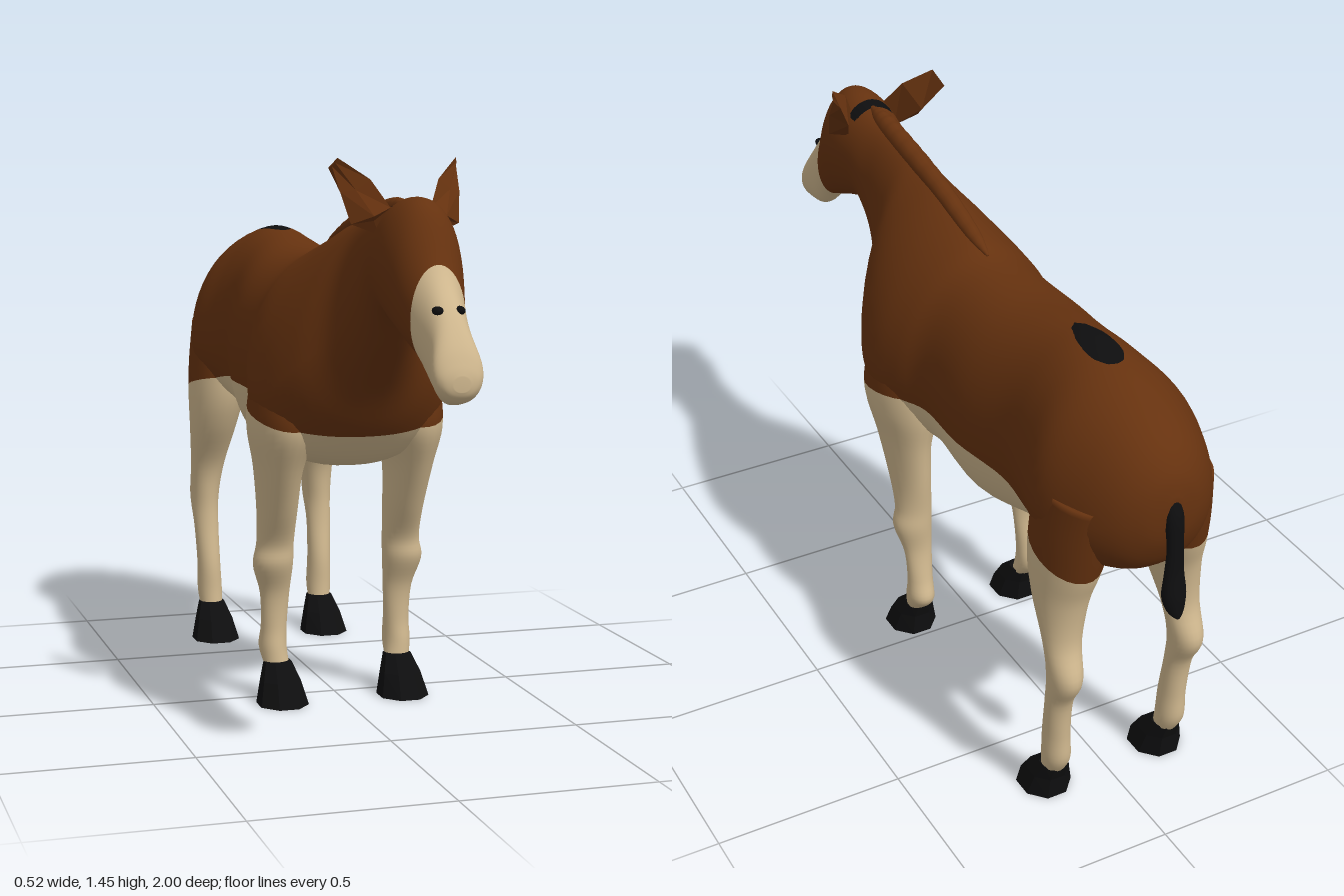
import * as THREE from 'three';

const V = (x, y, z) => new THREE.Vector3(x, y, z);
const paint = (name, color) => Object.assign(new THREE.MeshStandardMaterial({ color }), { name });

// Smoothly resample rows of section numbers (Catmull-Rom on every column)
function resample(rows, steps) {
  const out = [], last = rows.length - 1;
  for (let i = 0; i < last; i++) {
    const [a, b, c, d] = [rows[Math.max(i - 1, 0)], rows[i], rows[i + 1], rows[Math.min(i + 2, last)]];
    for (let s = 0; s < steps; s++) {
      const t = s / steps;
      out.push(b.map((v, k) => v + 0.5 * t * (c[k] - a[k] + t * (2 * a[k] - 5 * v + 4 * c[k] - d[k]
        + t * (3 * (v - c[k]) + d[k] - a[k])))));
    }
  }
  out.push(rows[last]);
  return out;
}

// Closed skin over rings of points, with capped ends, always facing outwards
function loft(rings, flat = false) {
  const n = rings[0].length, pts = rings.flat(), idx = [];
  for (let r = 0; r < rings.length - 1; r++) {
    for (let i = 0; i < n; i++) {
      const a = r * n + i, b = r * n + (i + 1) % n;
      idx.push(a, b, a + n, b, b + n, a + n);
    }
  }
  [0, rings.length - 1].forEach((r, end) => {
    const c = pts.length;
    pts.push(rings[r].reduce((s, p) => s.add(p), V(0, 0, 0)).divideScalar(n));
    for (let i = 0; i < n; i++) {
      const a = r * n + i, b = r * n + (i + 1) % n;
      if (end) idx.push(c, a, b); else idx.push(c, b, a);
    }
  });
  let volume = 0;
  for (let i = 0; i < idx.length; i += 3) {
    volume += pts[idx[i]].dot(pts[idx[i + 1]].clone().cross(pts[idx[i + 2]]));
  }
  if (volume < 0) idx.reverse();
  let geo = new THREE.BufferGeometry().setFromPoints(pts);
  geo.setIndex(idx);
  if (flat) geo = geo.toNonIndexed();
  geo.computeVertexNormals();
  return geo;
}

// Horizontal ellipses from rows of [y, xCentre, xRadius, zCentre, zRadius]
const ellipses = (rows, n, side = 1) => rows.map(([y, x, rx, z, rz]) => Array.from({ length: n }, (_, i) => {
  const a = (i + 0.5) / n * Math.PI * 2;
  return V(side * (x + rx * Math.cos(a)), y, z + rz * Math.sin(a));
}));

// Cut a geometry along f = 0 into [f >= 0, f < 0]
function cut(geo, f) {
  const g = geo.index ? geo.toNonIndexed() : geo;
  const p = g.attributes.position.array, q = g.attributes.normal.array;
  const sides = [[], []];
  for (let i = 0; i < p.length; i += 9) {
    const tri = [0, 3, 6].map((k) => [...p.slice(i + k, i + k + 3), ...q.slice(i + k, i + k + 3)]);
    const d = tri.map((v) => f(v[0], v[1], v[2]));
    sides.forEach((list, s) => {
      const poly = [];
      for (let k = 0; k < 3; k++) {
        const m = (k + 1) % 3, inK = (d[k] >= 0) === !s, inM = (d[m] >= 0) === !s;
        if (inK) poly.push(tri[k]);
        if (inK !== inM) {
          const t = d[k] / (d[k] - d[m]);
          poly.push(tri[k].map((v, c) => v + t * (tri[m][c] - v)));
        }
      }
      for (let k = 1; k + 1 < poly.length; k++) list.push(poly[0], poly[k], poly[k + 1]);
    });
  }
  return sides.map((list) => {
    const out = new THREE.BufferGeometry();
    out.setAttribute('position', new THREE.Float32BufferAttribute(list.flatMap((v) => v.slice(0, 3)), 3));
    out.setAttribute('normal', new THREE.Float32BufferAttribute(list.flatMap((v) => v.slice(3)), 3));
    return out;
  });
}

export function createModel() {
  const model = new THREE.Group();
  model.name = 'equine';
  const brown = paint('brown coat', 0x66320f);
  const cream = paint('cream coat', 0xcfb78e);
  const black = paint('black', 0x0e0e0f);
  const add = (name, geo, mat) => {
    const m = new THREE.Mesh(geo, mat);
    m.name = name;
    model.add(m);
    return m;
  };
  // Edge between the brown back and the cream underside
  const coatLine = (x, y, z) => y - 0.825 + 0.28 * (z + 0.27) ** 2;

  // Body, neck and head: [z, top, bottom, half width, widest y, upper taper]
  const trunk = [
    [-0.96, 1.0, 0.93, 0.02, 0.965, 1], [-0.945, 1.06, 0.86, 0.08, 0.95, 1],
    [-0.9, 1.12, 0.78, 0.14, 0.93, 1], [-0.82, 1.17, 0.74, 0.19, 0.9, 1],
    [-0.7, 1.215, 0.72, 0.225, 0.9, 1.1], [-0.58, 1.235, 0.7, 0.2, 0.9, 1.1],
    [-0.46, 1.22, 0.65, 0.186, 0.92, 1], [-0.28, 1.19, 0.605, 0.215, 0.9, 0.9],
    [-0.1, 1.19, 0.63, 0.212, 0.9, 1], [0, 1.22, 0.64, 0.24, 0.88, 1.3],
    [0.1, 1.25, 0.64, 0.258, 0.85, 1.5], [0.2, 1.28, 0.66, 0.24, 0.86, 1.6],
    [0.29, 1.295, 0.745, 0.19, 0.92, 1.5], [0.37, 1.31, 0.86, 0.12, 1.0, 1.2],
    [0.47, 1.325, 0.97, 0.088, 1.12, 1], [0.57, 1.34, 1.07, 0.09, 1.2, 1],
    [0.68, 1.362, 1.045, 0.1, 1.2, 1], [0.76, 1.335, 1.01, 0.088, 1.16, 1],
    [0.84, 1.205, 0.975, 0.066, 1.08, 1], [0.92, 1.115, 0.91, 0.053, 1.02, 0.85],
    [0.97, 1.045, 0.91, 0.06, 0.98, 0.9], [0.992, 1.0, 0.925, 0.045, 0.965, 1],
    [1, 0.975, 0.94, 0.02, 0.957, 1],
  ];
  const skin = loft(resample(trunk, 5).map(([z, top, bottom, w, mid, taper]) =>
    Array.from({ length: 56 }, (_, i) => {
      const a = i / 56 * Math.PI * 2, c = Math.cos(a), s = Math.sin(a);
      const x = Math.sign(c) * w * Math.abs(c) ** (s > 0 ? taper : 0.85);
      return V(x, mid + s * (s > 0 ? top - mid : mid - bottom), z);
    })));
  const [muzzle, behindMuzzle] = cut(skin, (x, y, z) => z - 0.835);
  const [upper, belly] = cut(behindMuzzle, coatLine);
  // Teardrop patch over the croup, and a narrow band between the ears
  const [croup, rest] = cut(upper, (x, y, z) =>
    y < 1.1 ? -1 : 1 - ((z + 0.59) / 0.1) ** 2 - (x / (0.043 - 0.12 * (z + 0.59))) ** 2);
  const [band, coat] = cut(rest, (x, y, z) =>
    Math.min(0.018 - Math.abs(z - 0.61), 0.06 - Math.abs(x), y - 1.29));
  add('brownCoat', coat, brown);
  add('creamBelly', belly, cream);
  add('muzzle', muzzle, cream);
  add('croupPatch', croup, black);
  add('pollBand', band, black);

  // Mane: a low tufted ridge, [z, y, half width, half height]
  const mane = [[-0.06, 1.2, 0.004, 0.004], [0.02, 1.224, 0.02, 0.02], [0.2, 1.275, 0.026, 0.026],
    [0.4, 1.31, 0.028, 0.03], [0.53, 1.33, 0.024, 0.026], [0.6, 1.34, 0.008, 0.008]];
  add('mane', loft(resample(mane, 10).map(([z, y, rx, ry], k) => Array.from({ length: 12 }, (_, i) => {
    const a = i / 12 * Math.PI * 2, tuft = k % 3 === 0 ? 0.88 : 1;
    return V(rx * Math.cos(a), y + ry * tuft * Math.sin(a), z);
  }))), brown);

  // Tail
  const tail = [[1.0, 0, 0.016, -0.945, 0.012], [0.95, 0, 0.024, -0.957, 0.018], [0.87, 0, 0.022, -0.967, 0.014],
    [0.8, 0, 0.026, -0.968, 0.017], [0.74, 0, 0.032, -0.972, 0.024], [0.7, 0, 0.022, -0.982, 0.017],
    [0.683, 0, 0.006, -0.994, 0.005]];
  add('tail', loft(ellipses(resample(tail, 4), 12)), black);

  // Legs and hooves: [y, xCentre, xRadius, zCentre, zRadius]
  const foreLeg = [[0.95, 0.15, 0.08, 0.1, 0.12], [0.83, 0.165, 0.09, 0.1, 0.14], [0.74, 0.172, 0.087, 0.1, 0.145],
    [0.64, 0.178, 0.062, 0.085, 0.115], [0.52, 0.175, 0.052, 0.06, 0.08], [0.43, 0.175, 0.05, 0.04, 0.051],
    [0.37, 0.18, 0.054, 0.037, 0.048], [0.29, 0.172, 0.04, 0.023, 0.029], [0.2, 0.172, 0.035, 0.012, 0.034],
    [0.14, 0.174, 0.037, 0.008, 0.046], [0.09, 0.168, 0.033, 0.034, 0.026]];
  const hindLeg = [[0.95, 0.13, 0.08, -0.74, 0.14], [0.83, 0.14, 0.085, -0.73, 0.13], [0.73, 0.15, 0.08, -0.722, 0.115],
    [0.64, 0.16, 0.068, -0.725, 0.085], [0.52, 0.17, 0.05, -0.755, 0.047], [0.42, 0.175, 0.042, -0.78, 0.055],
    [0.33, 0.175, 0.036, -0.757, 0.036], [0.22, 0.172, 0.034, -0.742, 0.04], [0.14, 0.17, 0.036, -0.74, 0.042],
    [0.09, 0.168, 0.032, -0.725, 0.032]];
  const hoof = [[0.105, 0.168, 0.038, 0.035, 0.036], [0.06, 0.168, 0.055, 0.065, 0.056], [0, 0.168, 0.07, 0.085, 0.077]];
  for (const side of [1, -1]) {
    const tag = side > 0 ? 'left' : 'right';
    for (const [part, rows, dz] of [['Fore', foreLeg, 0], ['Hind', hindLeg, -0.762]]) {
      const [shoulder, shank] = cut(loft(ellipses(resample(rows, 5), 24, side)), coatLine);
      add(`${tag}${part}UpperLeg`, shoulder, brown);
      add(`${tag}${part}LowerLeg`, shank, cream);
      add(`${tag}${part}Hoof`, loft(ellipses(hoof, 8, side), true), black).position.z = dz;
    }

    // Ears: faceted cups swept back and outwards
    const ear = [
      [[0.05, 1.335, 0.635], [0.07, 1.27, 0.61], [0.135, 1.295, 0.595], [0.09, 1.315, 0.635]],
      [[0.085, 1.4, 0.588], [0.11, 1.345, 0.52], [0.15, 1.37, 0.555], [0.118, 1.375, 0.578]],
      [[0.149, 1.45, 0.53], [0.154, 1.425, 0.47], [0.157, 1.43, 0.51], [0.153, 1.438, 0.525]],
    ];
    add(`${tag}Ear`, loft(ear.map((r) => r.map(([x, y, z]) => V(side * x, y, z))), true), brown);

    // Eyes
    const eye = add(`${tag}Eye`, new THREE.SphereGeometry(1, 12, 8), black);
    eye.scale.set(0.013, 0.011, 0.02);
    eye.position.set(side * 0.026, 1.114, 0.905);
  }
  return model;
}
